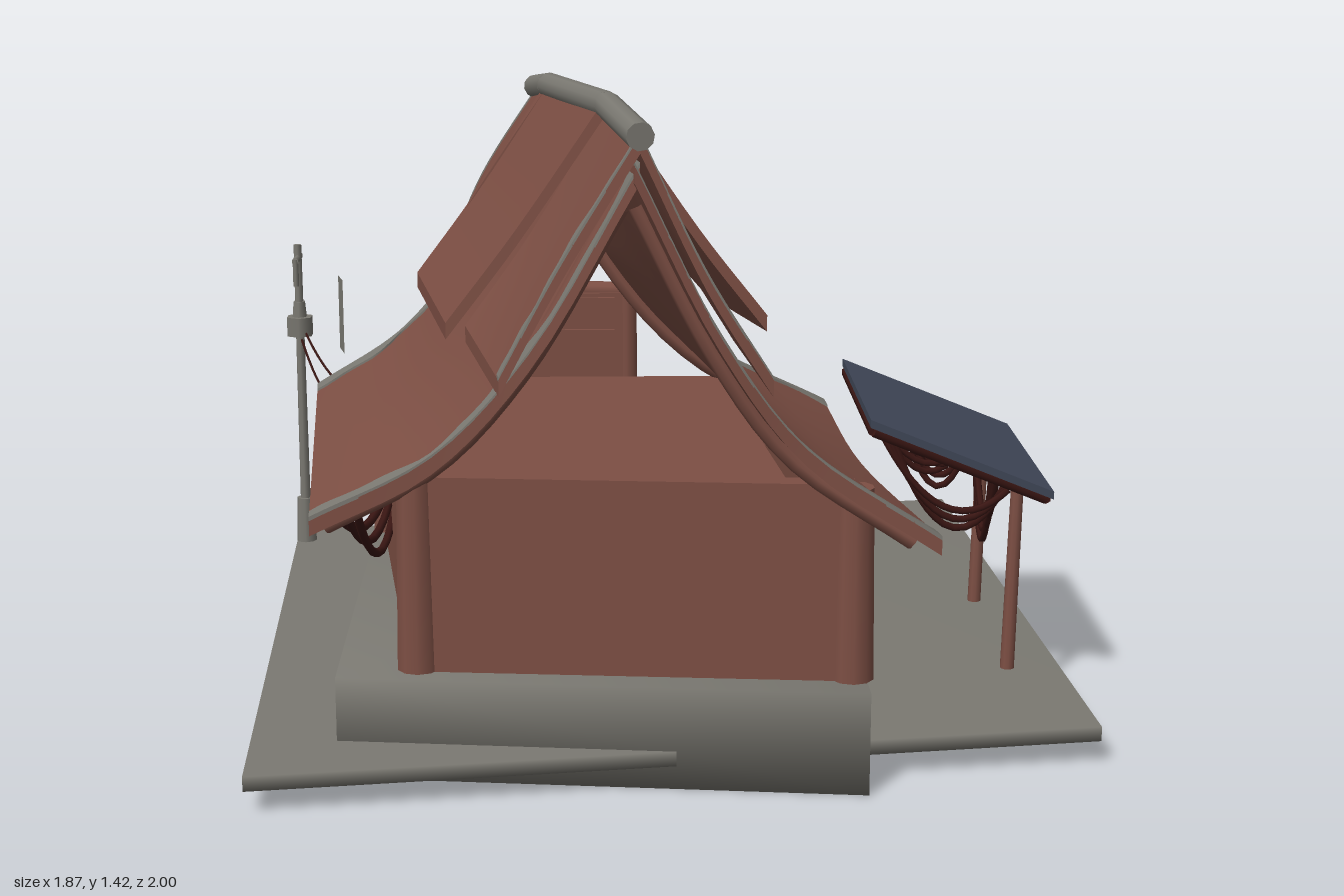
import * as THREE from 'three';
import { mergeVertices } from 'three/addons/utils/BufferGeometryUtils.js';

const mat = (name, color) => Object.assign(new THREE.MeshStandardMaterial({ color }), { name });
const clay = mat('clay red', 0x7d4f44);
const stone = mat('stone grey', 0x7b7972);
const solar = mat('slate blue', 0x42495a);
const dark = mat('dark cable', 0x3a1613);

const V = (p) => new THREE.Vector3(...p);

export function createModel() {
  const root = new THREE.Group();
  root.name = 'hut';

  const add = (name, geo, material) => {
    const m = new THREE.Mesh(geo, material);
    m.name = name;
    root.add(m);
    return m;
  };

  // round log between two points
  const log = (name, a, b, r0, r1, material, sides = 10) => {
    const d = V(b).sub(V(a));
    const m = add(name, new THREE.CylinderGeometry(r1, r0, d.length(), sides), material);
    m.position.copy(V(a)).addScaledVector(d, 0.5);
    m.quaternion.setFromUnitVectors(new THREE.Vector3(0, 1, 0), d.normalize());
  };

  // upright board between two plan points [x, z]
  const board = (name, a, b, y0, y1, t, material) => {
    const dx = b[0] - a[0], dz = b[1] - a[1];
    const m = add(name, new THREE.BoxGeometry(Math.hypot(dx, dz), y1 - y0, t), material);
    m.position.set((a[0] + b[0]) / 2, (y0 + y1) / 2, (a[1] + b[1]) / 2);
    m.rotation.y = -Math.atan2(dz, dx);
  };

  // level block over a plan outline of [x, z] points, optionally with soft shared normals
  const block = (name, plan, y0, y1, material, soft) => {
    const shape = new THREE.Shape(plan.map(([x, z]) => new THREE.Vector2(x, -z)));
    let geo = new THREE.ExtrudeGeometry(shape, { depth: y1 - y0, bevelEnabled: false });
    geo.rotateX(-Math.PI / 2).translate(0, y0, 0);
    if (soft) {
      geo.deleteAttribute('normal').deleteAttribute('uv');
      geo = mergeVertices(geo);
      geo.computeVertexNormals();
    }
    add(name, geo, material);
  };

  // sagging cable
  const cable = (name, a, b, sag, r, material) => {
    const c = V(a).add(V(b)).multiplyScalar(0.5);
    c.y -= sag * 2;
    const curve = new THREE.QuadraticBezierCurve3(V(a), c, V(b));
    add(name, new THREE.TubeGeometry(curve, 16, r, 6), material);
  };

  // surface through cross-section rows: u runs along +x, v along +z
  const surface = (rows) => {
    const curves = rows.map((r) => new THREE.CatmullRomCurve3(r.map(V)));
    return (u, v) => new THREE.CatmullRomCurve3(curves.map((c) => c.getPoint(u))).getPoint(v);
  };

  // curved slab that follows a surface
  const slab = (name, P, material, t, o = {}) => {
    const { lift = 0, nu = 15, nv = 12, v = (s) => s } = o;
    const geo = new THREE.BoxGeometry(1, 1, 1, nu, 1, nv);
    const pos = geo.attributes.position;
    for (let i = 0; i < pos.count; i++) {
      const u = pos.getX(i) + 0.5, s = pos.getZ(i) + 0.5;
      const p = P(u, v(s, u));
      pos.setXYZ(i, p.x, p.y + lift + (pos.getY(i) - 0.5) * t, p.z);
    }
    geo.computeVertexNormals();
    add(name, geo, material);
  };

  // worn grey strip on top of the front or back edge of a roof panel
  const wear = (P, front, width) => {
    const ragged = (u) => width * (0.7 + 0.25 * Math.sin(u * 13) + 0.15 * Math.sin(u * 31 + 1));
    slab('wornRoofEdge', P, stone, 0.009, {
      lift: 0.006, nu: 30, nv: 2,
      v: (s, u) => (front ? 1 - ragged(u) * (1 - s) : ragged(u) * s),
    });
  };

  // ground plate and foundation, both skewed in plan
  block('groundPlate', [[-0.93, -0.75], [0.85, -1], [0.94, 0.75], [-0.84, 0.98]], 0.05, 0.082, stone, true);
  block('foundation', [[-0.68, -0.46], [0.42, -0.46], [0.43, 0.91], [-0.67, 0.79]], 0, 0.22, stone, true);

  // rear stair cheeks
  for (const [x, z] of [[-0.25, 0], [0, 0.02]]) {
    const s = new THREE.Shape([[-0.45, 0.22], [-0.49, 0.21], [-0.59, 0.12], [-0.65, 0.1], [-0.65, 0], [-0.45, 0]]
      .map(([a, b]) => new THREE.Vector2(a, b)));
    const g = new THREE.ExtrudeGeometry(s, { depth: 0.04, bevelEnabled: false });
    add('stairCheek', g.rotateY(-Math.PI / 2).translate(x, 0, z), stone);
  }

  // walls, attic floor and corner posts
  const FL = [-0.5, 0.73], FR = [0.4, 0.81], BL = [-0.64, -0.29], BR = [0.31, -0.28];
  board('frontWall', FL, FR, 0.22, 0.64, 0.05, clay);
  board('rightWall', FR, BR, 0.22, 0.54, 0.04, clay);
  board('leftWall', FL, BL, 0.22, 0.58, 0.04, clay);
  board('backWallLeft', [-0.06, -0.28], BR, 0.22, 0.58, 0.04, clay);
  board('backWallRight', BL, [-0.36, -0.29], 0.22, 0.6, 0.04, clay);
  block('atticFloor', [[-0.6, -0.28], [0.18, -0.28], [0.28, 0.78], [-0.48, 0.72]], 0.58, 0.61, clay);
  for (const [p, h] of [[FL, 0.64], [FR, 0.63], [BL, 0.6], [BR, 0.56]])
    log('cornerPost', [p[0], 0.22, p[1]], [p[0], h, p[1]], 0.046, 0.04, clay);

  // rear doorway
  for (const x of [-0.37, -0.05]) log('doorPost', [x, 0.22, -0.31], [x, 0.85, -0.31], 0.03, 0.025, clay);
  log('doorLintel', [-0.41, 0.83, -0.31], [-0.03, 0.82, -0.31], 0.022, 0.022, clay);
  board('door', [-0.36, -0.29], [-0.06, -0.29], 0.22, 0.82, 0.02, clay);
  for (const y of [0.42, 0.7, 0.78]) board('doorPlank', [-0.34, -0.29], [-0.08, -0.29], y, y + 0.03, 0.04, clay);

  // lower roof, flared towards the eaves
  const lower = [
    surface([
      [[-0.27, 1.27, -0.32], [-0.11, 0.95, -0.31], [0.12, 0.7, -0.33], [0.45, 0.52, -0.38]],
      [[-0.17, 1.31, 0.3], [0.02, 0.97, 0.3], [0.2, 0.72, 0.3], [0.47, 0.54, 0.3]],
      [[-0.05, 1.31, 0.97], [0.12, 0.97, 0.95], [0.29, 0.74, 0.93], [0.56, 0.56, 0.95]],
    ]),
    surface([
      [[-0.83, 0.56, -0.41], [-0.6, 0.72, -0.37], [-0.42, 0.96, -0.35], [-0.26, 1.27, -0.32]],
      [[-0.77, 0.56, 0.21], [-0.54, 0.71, 0.23], [-0.34, 0.96, 0.26], [-0.16, 1.31, 0.3]],
      [[-0.71, 0.57, 0.82], [-0.46, 0.7, 0.83], [-0.26, 0.92, 0.87], [-0.04, 1.31, 0.96]],
    ]),
  ];
  for (const P of lower) {
    slab('lowerRoof', P, clay, 0.035);
    wear(P, true, 0.045);
    wear(P, false, 0.06);
    // gable rafters under both ends
    for (const v of [0.05, 0.94]) {
      const pts = [0.04, 0.35, 0.65, 0.96].map((u) => P(u, v).add(new THREE.Vector3(0, -0.045, 0)));
      add('rafter', new THREE.TubeGeometry(new THREE.CatmullRomCurve3(pts), 16, 0.022, 8), clay);
    }
  }

  // upper roof: three overlapping sheets on each side
  const sheets = [
    [[[-0.26, 1.33, -0.32], [-0.12, 1.06, -0.31], [0, 0.84, -0.31]],
      [[-0.23, 1.37, 0.05], [-0.08, 1.1, 0.04], [0.05, 0.9, 0.03]]],
    [[[-0.23, 1.38, 0.01], [-0.04, 1.11, 0.02], [0.13, 0.91, 0.02]],
      [[-0.1, 1.41, 0.65], [0.09, 1.13, 0.64], [0.23, 0.95, 0.63]]],
    [[[-0.1, 1.39, 0.61], [0.05, 1.11, 0.62], [0.16, 0.93, 0.62]],
      [[-0.04, 1.37, 0.98], [0.09, 1.1, 0.98], [0.22, 0.89, 0.97]]],
    [[[-0.5, 0.88, -0.43], [-0.41, 1.09, -0.4], [-0.26, 1.33, -0.32]],
      [[-0.51, 0.94, 0.04], [-0.4, 1.12, 0.04], [-0.23, 1.37, 0.05]]],
    [[[-0.54, 0.93, 0.02], [-0.4, 1.12, 0.02], [-0.23, 1.38, 0.01]],
      [[-0.44, 0.93, 0.6], [-0.29, 1.13, 0.62], [-0.1, 1.41, 0.65]]],
    [[[-0.4, 0.92, 0.58], [-0.26, 1.12, 0.6], [-0.1, 1.39, 0.61]],
      [[-0.32, 0.87, 0.87], [-0.2, 1.1, 0.92], [-0.04, 1.37, 0.98]]],
  ];
  sheets.forEach((rows, i) => {
    const P = surface(rows);
    slab('upperRoof', P, clay, 0.035, { nu: 10, nv: 6 });
    if (i % 3 !== 1) wear(P, i % 3 === 2, i % 3 ? 0.06 : 0.11);
  });

  // ridge log
  const ridge = [[-0.27, 1.325, -0.32], [-0.23, 1.365, 0.03], [-0.1, 1.39, 0.65], [-0.04, 1.37, 1]];
  for (let i = 0; i < 3; i++) log('ridgeLog', ridge[i], ridge[i + 1], 0.028, 0.028, stone);

  // solar awning with frame, legs and hanging cables
  const corners = [[0.475, 0.66, -0.1], [0.87, 0.485, -0.18], [0.87, 0.485, 0.405], [0.475, 0.66, 0.48]];
  const awning = surface([
    [[0.467, 0.69, -0.11], [0.885, 0.505, -0.195]],
    [[0.467, 0.69, 0.495], [0.885, 0.505, 0.42]],
  ]);
  slab('solarPanel', awning, solar, 0.018, { nu: 1, nv: 1 });
  corners.forEach((c, i) => log('awningFrame', c, corners[(i + 1) % 4], 0.012, 0.012, dark, 6));
  for (const z of [0.38, -0.1]) {
    log('awningLeg', [0.8, 0.07, z], [0.81, 0.51, z], 0.016, 0.014, clay);
    log('awningStrut', [0.5, 0.64, z], [0.84, 0.49, z], 0.01, 0.01, dark, 6);
    for (let i = 0; i < 3; i++)
      cable('awningCable', [0.51 + i * 0.01, 0.62, z], [0.79, 0.5, z - 0.02 * i], 0.1 + 0.025 * i, 0.008, dark);
  }
  for (let i = 0; i < 3; i++) {
    cable('awningCable', [0.78, 0.5, 0.28 - i * 0.03], [0.79, 0.5, -0.09], 0.15 + i * 0.03, 0.008, dark);
    cable('awningCable', [0.78, 0.5, -0.1], [0.62, 0.55, -0.15 - i * 0.01], 0.1 + i * 0.03, 0.008, dark);
    cable('wallCable', [-0.72 + i * 0.03, 0.56, 0.5], [-0.58, 0.56, 0.1 - i * 0.08], 0.16 + i * 0.04, 0.01, dark);
    cable('wallCable', [-0.7 + i * 0.03, 0.56, 0.1], [-0.66, 0.56, -0.25], 0.12 + i * 0.05, 0.01, dark);
  }

  // rear railing, loose bars and leaning pegs
  for (const x of [-0.65, -0.29]) log('railPost', [x, 0.2, -0.425], [x, 0.4, -0.425], 0.024, 0.024, stone);
  for (const y of [0.27, 0.36]) {
    log('railBar', [-0.65, y, -0.425], [-0.29, y, -0.425], 0.014, 0.014, stone);
    board('looseBar', [0, -0.415], [0.35, -0.42], y - 0.015, y + 0.015, 0.03, stone);
  }
  for (const x of [-0.52, -0.43]) log('wallPeg', [x, 0.31, -0.33], [x, 0.49, -0.33], 0.02, 0.02, stone);

  // utility pole with wires to the eave
  const [px, pz] = [-0.9, -0.65];
  log('poleBase', [px, 0.06, pz], [px, 0.2, pz], 0.027, 0.022, stone, 8);
  log('pole', [px, 0.18, pz], [px, 0.88, pz], 0.013, 0.01, stone, 8);
  log('poleCollar', [px, 0.64, pz], [px, 0.69, pz], 0.036, 0.036, stone, 6);
  log('poleCap', [px, 0.69, pz], [px, 0.73, pz], 0.02, 0.016, stone, 6);
  log('poleArm', [px, 0.845, pz - 0.04], [px, 0.845, pz + 0.055], 0.009, 0.009, stone, 6);
  log('poleTip', [px, 0.78, pz + 0.05], [px, 0.85, pz + 0.05], 0.008, 0.008, stone, 6);
  cable('poleWire', [px, 0.68, pz], [-0.7, 0.55, -0.38], 0.06, 0.003, dark);
  cable('poleWire', [px, 0.64, pz], [-0.72, 0.54, -0.36], 0.09, 0.003, dark);

  // thin upright plate beyond the back edge
  const sign = add('yardPlate', new THREE.PlaneGeometry(0.08, 0.2), stone);
  sign.position.set(-0.81, 0.66, -0.82);
  sign.rotation.y = -Math.PI / 2 + 0.25;

  return root;
}
